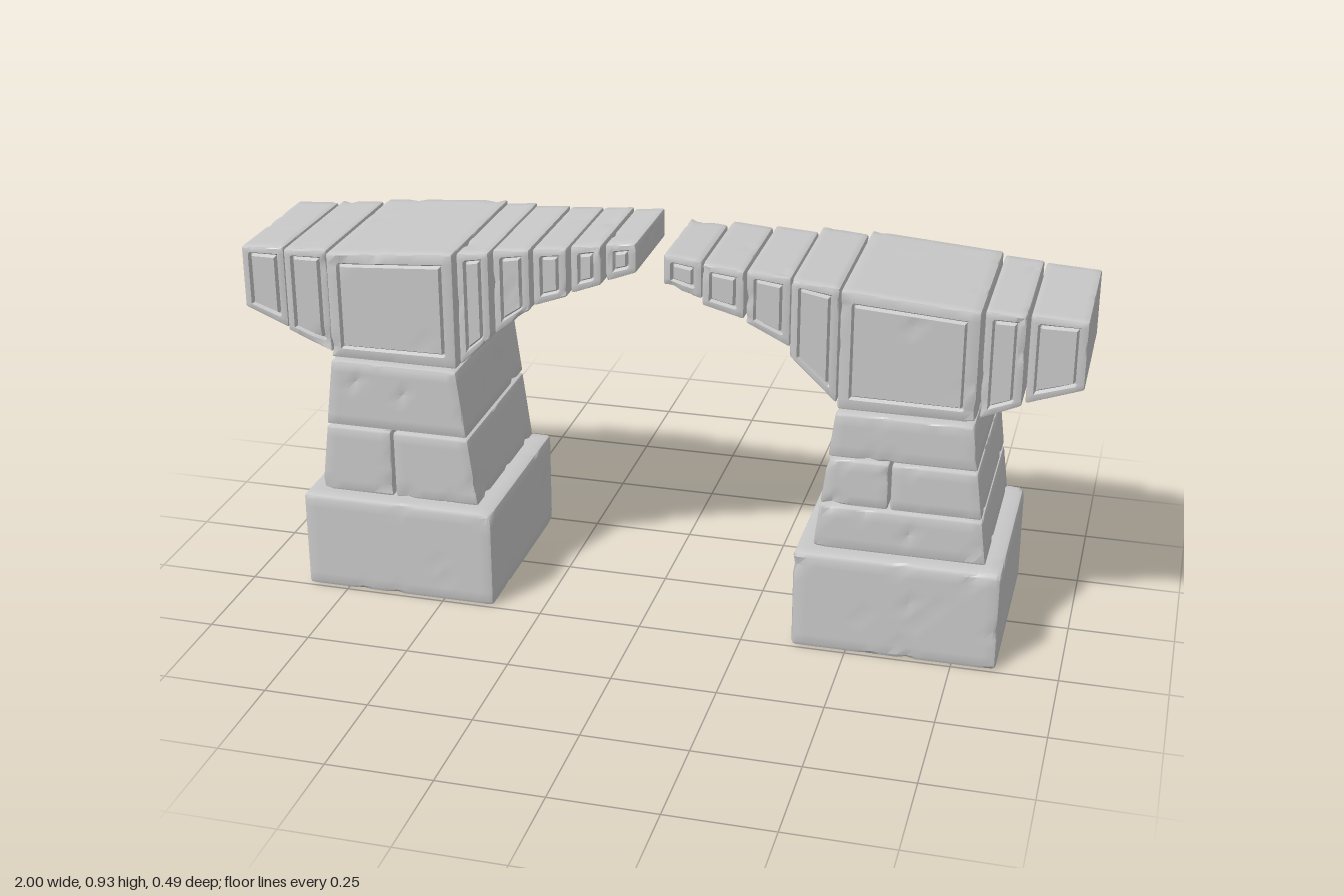
import * as THREE from 'three';
import { toCreasedNormals } from 'three/addons/utils/BufferGeometryUtils.js';

const CELL = 0.022;
const GROOVE_W = 0.005;

// Small seeded generator for the wear on the stones
let seed = 7;
function rnd() {
  seed = (seed * 16807) % 2147483647;
  return seed / 2147483647;
}

// Grid lines along one axis: bevel line, optional groove lines, even interior
function gridLines(size, bevel, groove) {
  const edge = [0, bevel];
  if (groove) edge.push(groove - GROOVE_W, groove, groove + GROOVE_W);
  const start = edge[edge.length - 1];
  const n = Math.max(1, Math.round((size - 2 * start) / CELL));
  const inner = [];
  for (let i = 1; i < n; i++) inner.push(start + ((size - 2 * start) * i) / n);
  const far = edge.map((e) => size - e).reverse();
  return [...edge, ...inner, ...far].map((v) => v - size / 2);
}

// Worn stone with a four-sided front profile; groove frames a panel on front and back
function stone({ x0, x1, bottom, top, halfZ, bevel = 0.006, groove = 0, pits = 12,
                 taper = [0, 0] }) {
  const w = x1 - x0;
  const h = (top[0] + top[1] - bottom[0] - bottom[1]) / 2;
  const size = [w, h, halfZ * 2];
  const lines = [gridLines(w, bevel, groove), gridLines(h, bevel, groove),
    gridLines(halfZ * 2, bevel, 0)];
  const n = lines.map((l) => l.length - 1);
  const geo = new THREE.BoxGeometry(1, 1, 1, ...n);
  const pos = geo.attributes.position;
  const points = [];
  const normals = [];

  for (let i = 0; i < pos.count; i++) {
    const q = [pos.getX(i), pos.getY(i), pos.getZ(i)];
    const p = q.map((v, a) => lines[a][Math.round((v + 0.5) * n[a])]);
    const inner = p.map((v, a) =>
      THREE.MathUtils.clamp(v, bevel - size[a] / 2, size[a] / 2 - bevel));
    const normal = new THREE.Vector3(...p.map((v, a) => v - inner[a])).normalize();
    const point = new THREE.Vector3(...inner).addScaledVector(normal, bevel);
    const fromEdge = Math.min(w / 2 - Math.abs(p[0]), h / 2 - Math.abs(p[1]));
    if (groove && Math.abs(q[2]) > 0.499 && Math.abs(fromEdge - groove) < 1e-4) {
      point.z -= Math.sign(q[2]) * 0.009;
    }
    points.push(point);
    normals.push(normal);
  }

  // Shallow pits, deeper where they chip an edge
  const offset = new Float32Array(points.length);
  for (let k = 0; k < pits; k++) {
    const c = points[Math.floor(rnd() * points.length)];
    const radius = 0.008 + 0.016 * rnd() ** 3;
    points.forEach((p, i) => {
      const d = p.distanceTo(c) / radius;
      if (d < 1) offset[i] = Math.max(offset[i], radius * 0.3 * (1 - d * d));
    });
  }

  // Bend the block into its profile
  points.forEach((p, i) => {
    p.addScaledVector(normals[i], -offset[i]);
    const u = p.x / w + 0.5;
    const v = p.y / h + 0.5;
    const low = THREE.MathUtils.lerp(bottom[0], bottom[1], u);
    const high = THREE.MathUtils.lerp(top[0], top[1], u);
    const left = x0 + taper[0] * v;
    const right = x1 + taper[1] * v;
    pos.setXYZ(i, left + (right - left) * u, low + (high - low) * v, p.z);
  });
  geo.deleteAttribute('uv');
  geo.deleteAttribute('normal');
  return toCreasedNormals(geo, 0.5);
}

export function createModel() {
  seed = 7;
  const material = new THREE.MeshStandardMaterial({ color: 0xc8c8c8 });
  material.name = 'pale stone';
  const model = new THREE.Group();
  model.name = 'brokenStoneBridge';

  function add(parent, name, options) {
    const mesh = new THREE.Mesh(stone(options), material);
    mesh.name = name;
    parent.add(mesh);
  }

  // Deck stones: x0, x1, bottom at x0 and x1, top at x0 and x1, half depth
  const halves = [
    {
      name: 'rightHalf', side: -1,
      courses: [[0.255, 0.426, -0.625], [0.432, 0.6, null]],
      deck: [
        [-1, -0.892, 0.7, 0.655, 0.853, 0.86, 0.175],
        [-0.886, -0.777, 0.655, 0.608, 0.86, 0.867, 0.188],
        [-0.77, -0.456, 0.605, 0.605, 0.867, 0.892, 0.208],
        [-0.452, -0.374, 0.61, 0.685, 0.889, 0.897, 0.19],
        [-0.37, -0.282, 0.688, 0.758, 0.897, 0.905, 0.168],
        [-0.276, -0.195, 0.765, 0.795, 0.905, 0.912, 0.158],
        [-0.188, -0.115, 0.8, 0.828, 0.915, 0.923, 0.146],
        [-0.108, -0.035, 0.832, 0.86, 0.923, 0.931, 0.132],
      ],
    },
    {
      name: 'leftHalf', side: 1,
      courses: [[0.255, 0.364, null], [0.37, 0.485, 0.585], [0.491, 0.6, null]],
      deck: [
        [0.03, 0.12, 0.838, 0.81, 0.911, 0.902, 0.132],
        [0.127, 0.225, 0.806, 0.78, 0.905, 0.897, 0.157],
        [0.232, 0.334, 0.775, 0.725, 0.9, 0.893, 0.163],
        [0.34, 0.45, 0.715, 0.61, 0.898, 0.888, 0.19],
        [0.456, 0.768, 0.605, 0.605, 0.892, 0.868, 0.208],
        [0.775, 0.866, 0.608, 0.648, 0.867, 0.861, 0.188],
        [0.873, 1, 0.65, 0.695, 0.862, 0.855, 0.175],
      ],
    },
  ];

  for (const { name, side, courses, deck } of halves) {
    const half = new THREE.Group();
    half.name = name;
    model.add(half);

    // Plinth
    const cx = side * 0.612;
    add(half, 'plinth', {
      x0: cx - 0.242, x1: cx + 0.242, bottom: [0, 0], top: [0.248, 0.248],
      halfZ: 0.245, bevel: 0.011, pits: 40,
    });

    // Pier courses narrowing upward, some split by a joint
    const halfWidth = (y) => THREE.MathUtils.mapLinear(y, 0.25, 0.6, 0.202, 0.157);
    courses.forEach(([y0, y1, joint], i) => {
      const a = halfWidth(y0);
      const lean = a - halfWidth(y1);
      const base = { bottom: [y0, y0], top: [y1, y1], halfZ: 0.217 + 0.002 * i, pits: 26 };
      if (joint === null) {
        add(half, 'pierCourse', { ...base, x0: cx - a, x1: cx + a, taper: [lean, -lean] });
      } else {
        add(half, 'pierBlock', { ...base, x0: cx - a, x1: joint - 0.003, taper: [lean, 0] });
        add(half, 'pierBlock', { ...base, x0: joint + 0.003, x1: cx + a, taper: [0, -lean] });
      }
    });

    // Deck and arch stones with grooved panels
    for (const [x0, x1, b0, b1, t0, t1, halfZ] of deck) {
      const large = x1 - x0 > 0.3;
      add(half, large ? 'capStone' : 'archStone', {
        x0, x1, bottom: [b0, b1], top: [t0, t1], halfZ,
        bevel: 0.005, groove: large ? 0.03 : 0.021, pits: large ? 26 : 10,
      });
    }
  }
  return model;
}
